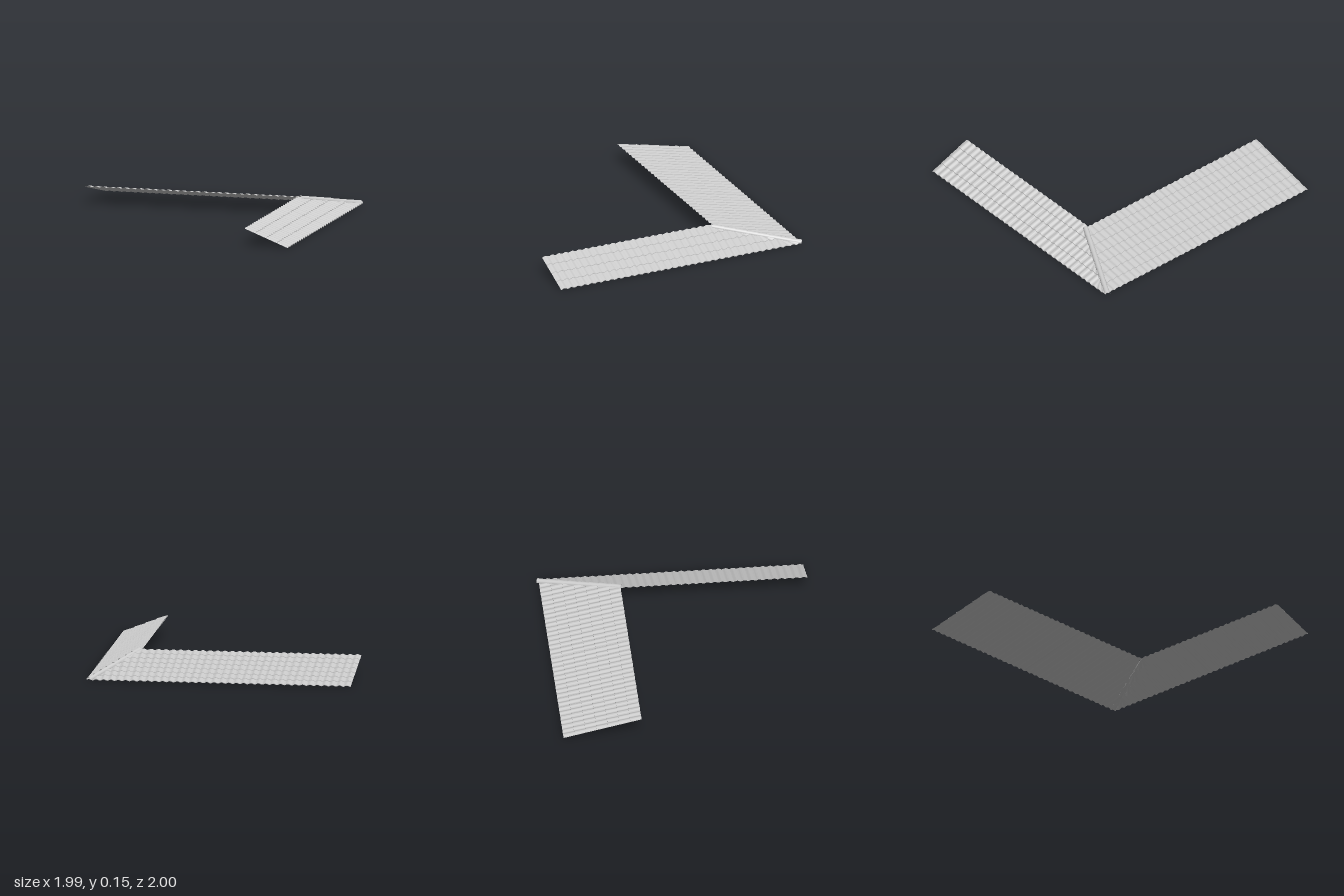
import * as THREE from 'three';
import { toCreasedNormals } from 'three/addons/utils/BufferGeometryUtils.js';

const material = new THREE.MeshStandardMaterial({ color: 0xcccccc, side: THREE.DoubleSide });

// plan outline of the corner roof
const RIDGE_X = 0.65, EAVE_X = 0.985, RIDGE_Z = -0.4, EAVE_Z = -0.985;
const RIDGE_Y = 0.132, PITCH = 0.0555, WAVE = 0.009, THICK = 0.005, LIFT = 0.005;

const wave = (s) => WAVE * (0.5 - 0.5 * Math.cos((2 * Math.PI * s) / PITCH));

// One course of rolled tiles from slope fraction t0 (upper) to t1 (lower, lifted over the next course).
// end(t) is where the course meets the hip; place(s, t, y) maps to model space.
function tileCourse(t0, t1, length, end, place) {
  const ring = [[t0, 0], [t1, LIFT - THICK], [t1, LIFT], [t0, 0]];
  const steps = Math.ceil(length / PITCH) * 8;
  const positions = [];
  const point = (i, k) => {
    const [t, lift] = ring[k];
    const s = Math.min((i * PITCH) / 8, end(t));
    return place(s, t, RIDGE_Y * (1 - t) + lift + wave(s));
  };
  const triangle = (a, b, c) => {
    const area = b.clone().sub(a).cross(c.clone().sub(a)).length();
    if (area > 1e-9) positions.push(...a, ...b, ...c);
  };
  for (let i = 0; i < steps; i++) {
    for (let k = 0; k < 3; k++) {
      const a = point(i, k), b = point(i + 1, k), c = point(i + 1, k + 1), d = point(i, k + 1);
      triangle(a, d, c);
      triangle(a, c, b);
    }
  }
  const geometry = new THREE.BufferGeometry();
  geometry.setAttribute('position', new THREE.Float32BufferAttribute(positions, 3));
  return toCreasedNormals(geometry, 0.8);
}

function roofWing(name, courses, length, end, place) {
  const wing = new THREE.Group();
  wing.name = name;
  for (let r = 0; r < courses; r++) {
    const geometry = tileCourse(r / courses, (r + 1) / courses, length, end, place);
    const course = new THREE.Mesh(geometry, material);
    course.name = 'tileCourse';
    wing.add(course);
  }
  return wing;
}

// Overlapping tapered half-round caps running down the hip
function hipCaps() {
  const hip = new THREE.Group();
  hip.name = 'hipCaps';
  const top = new THREE.Vector3(0.672, 0.128, -0.395);
  const foot = new THREE.Vector3(0.966, 0.005, -0.988);
  const count = 8;
  const uphill = top.clone().sub(foot).normalize();
  const side = uphill.clone().cross(new THREE.Vector3(0, 1, 0)).normalize();
  const up = side.clone().cross(uphill);
  const length = top.distanceTo(foot) / count;
  const geometry = new THREE.CylinderGeometry(0.019, 0.023, length * 1.08, 14, 1, true, -Math.PI / 2, Math.PI);
  for (let i = 0; i < count; i++) {
    const cap = new THREE.Mesh(geometry, material);
    cap.name = 'hipCap';
    cap.quaternion.setFromRotationMatrix(new THREE.Matrix4().makeBasis(side, uphill, up));
    cap.position.lerpVectors(top, foot, (i + 0.5) / count);
    hip.add(cap);
  }
  return hip;
}

export function createModel() {
  const model = new THREE.Group();
  model.name = 'cornerRoof';
  const lerp = THREE.MathUtils.lerp;

  // Long wing falling to the back
  model.add(roofWing('backWing', 7, EAVE_X + 1,
    (t) => lerp(RIDGE_X, EAVE_X, t) + 1,
    (s, t, y) => new THREE.Vector3(s - 1, y, lerp(RIDGE_Z, EAVE_Z, t))));

  // Narrower wing falling to the left side
  model.add(roofWing('sideWing', 4, 1 - EAVE_Z,
    (t) => 1 - lerp(RIDGE_Z, EAVE_Z, t),
    (s, t, y) => new THREE.Vector3(lerp(RIDGE_X, EAVE_X, t), y, 1 - s)));

  model.add(hipCaps());
  return model;
}
